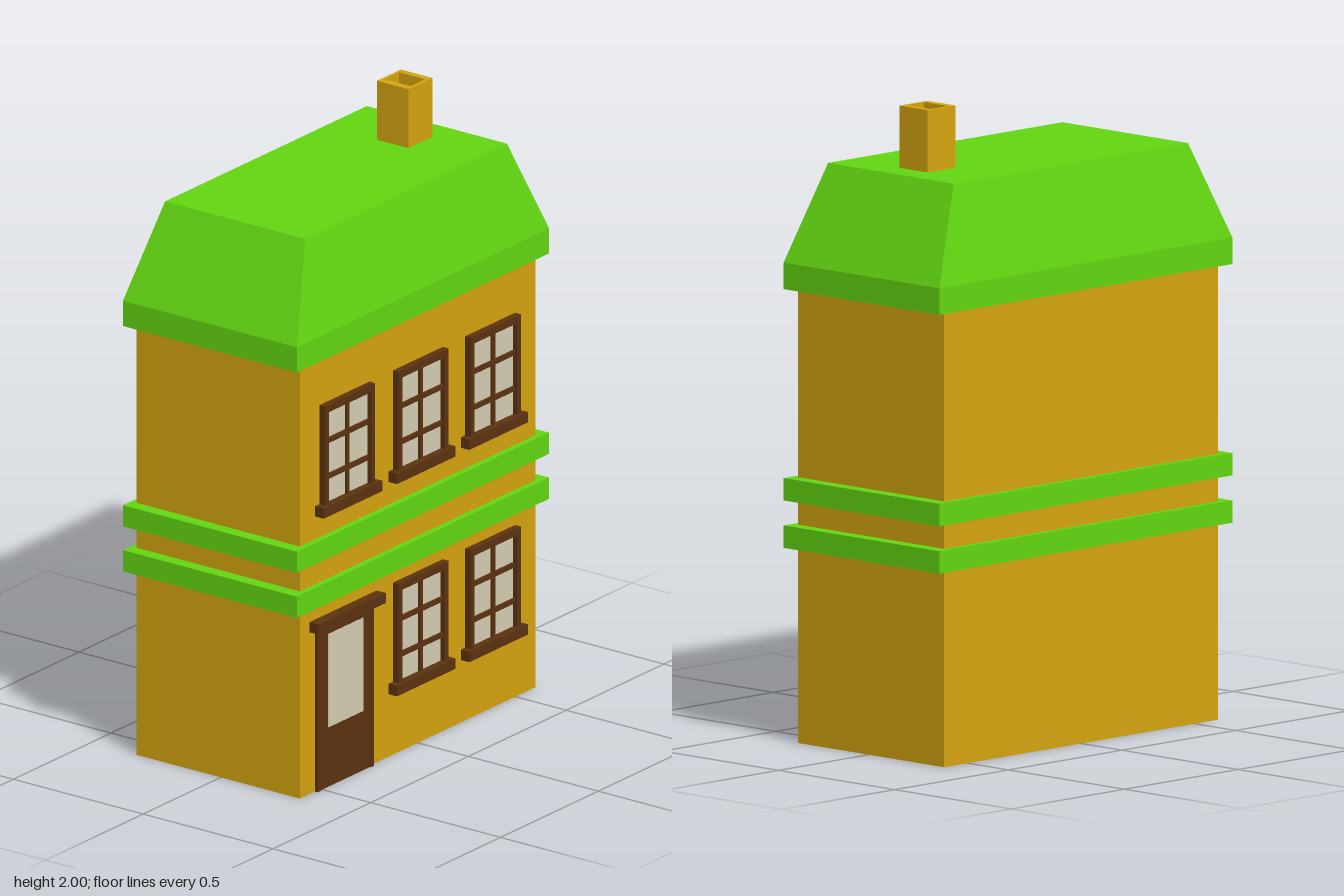
import * as THREE from 'three';

const gold = new THREE.MeshStandardMaterial({ color: 0xd6a510 });
gold.name = 'gold wall';
const green = new THREE.MeshStandardMaterial({ color: 0x63d811 });
green.name = 'green roof';
const brown = new THREE.MeshStandardMaterial({ color: 0x5c3310 });
brown.name = 'brown wood';
const pale = new THREE.MeshStandardMaterial({ color: 0xd6cdb4 });
pale.name = 'pale glass';

const WALL = 0.305; // x of the wall that carries door and windows

// Box given by its min and max on each axis
function box(parent, name, mat, [x0, x1], [y0, y1], [z0, z1]) {
  const mesh = new THREE.Mesh(new THREE.BoxGeometry(x1 - x0, y1 - y0, z1 - z0), mat);
  mesh.position.set((x0 + x1) / 2, (y0 + y1) / 2, (z0 + z1) / 2);
  mesh.name = name;
  parent.add(mesh);
  return mesh;
}

// Six-pane window, centred on z, with its sill's underside at y
function makeWindow(y, z) {
  const g = new THREE.Group();
  g.name = 'window';
  g.position.set(WALL, y, z);
  const depth = [-0.01, 0.022], bar = [-0.01, 0.015];
  box(g, 'glass', pale, [-0.01, 0.007], [0.03, 0.34], [-0.115, 0.115]);
  box(g, 'frameTop', brown, depth, [0.336, 0.36], [-0.128, 0.128]);
  for (const s of [-1, 1]) {
    const c = s * 0.118;
    box(g, 'frameSide', brown, depth, [0.03, 0.336], [c - 0.01, c + 0.01]);
  }
  box(g, 'mullion', brown, bar, [0.03, 0.34], [-0.007, 0.007]);
  for (const h of [0.12, 0.238]) box(g, 'glazingBar', brown, bar, [h - 0.008, h + 0.008], [-0.115, 0.115]);
  box(g, 'sill', brown, [-0.01, 0.033], [0, 0.034], [-0.15, 0.15]);
  return g;
}

function makeDoor() {
  const g = new THREE.Group();
  g.name = 'door';
  g.position.set(WALL, 0, 0.383);
  box(g, 'doorLeaf', brown, [-0.01, 0.008], [0, 0.535], [-0.13, 0.13]);
  for (const s of [-1, 1]) {
    const c = s * 0.137;
    box(g, 'doorJamb', brown, [-0.01, 0.012], [0, 0.535], [c - 0.007, c + 0.007]);
  }
  box(g, 'doorGlass', pale, [0.004, 0.01], [0.196, 0.503], [-0.092, 0.086]);
  box(g, 'lintel', brown, [-0.01, 0.036], [0.533, 0.566], [-0.172, 0.172]);
  return g;
}

// Square flue, open at the top
function makeChimney() {
  const g = new THREE.Group();
  g.name = 'chimney';
  const shape = new THREE.Shape([[-0.08, 0.302], [0.042, 0.302], [0.042, 0.425], [-0.08, 0.425]]
    .map(([x, y]) => new THREE.Vector2(x, y)));
  shape.holes.push(new THREE.Path([[-0.07, 0.327], [-0.07, 0.402], [0.031, 0.402], [0.031, 0.327]]
    .map(([x, y]) => new THREE.Vector2(x, y))));
  const geo = new THREE.ExtrudeGeometry(shape, { depth: 0.2, bevelEnabled: false });
  geo.rotateX(-Math.PI / 2).translate(0, 1.8, 0);
  const flue = new THREE.Mesh(geo, gold);
  flue.name = 'flue';
  g.add(flue);
  box(g, 'flueFloor', gold, [-0.075, 0.036], [1.8, 1.84], [-0.41, -0.32]);
  return g;
}

export function createModel() {
  const house = new THREE.Group();
  house.name = 'townhouse';
  box(house, 'walls', gold, [-0.325, WALL], [0, 1.43], [-0.603, 0.603]);

  // Projecting bands and the roof's eave
  const outX = [-0.345, 0.325], outZ = [-0.645, 0.645];
  for (const y of [0.612, 0.76]) box(house, 'band', green, outX, [y, y + 0.07], outZ);
  box(house, 'eave', green, outX, [1.42, 1.503], outZ);

  // Sloped roof: a box with its top drawn in
  const roof = box(house, 'roof', green, outX, [1.503, 1.806], outZ);
  const p = roof.geometry.attributes.position;
  for (let i = 0; i < p.count; i++) {
    if (p.getY(i) > 0) {
      p.setX(i, Math.sign(p.getX(i)) * 0.27);
      p.setZ(i, Math.sign(p.getZ(i)) * 0.516);
    }
  }
  roof.geometry.computeVertexNormals();

  house.add(makeChimney(), makeDoor());
  for (const z of [0.375, 0, -0.37]) {
    house.add(makeWindow(0.905, z));
    if (z <= 0) house.add(makeWindow(0.206, z)); // the door takes the third bay
  }
  return house;
}
